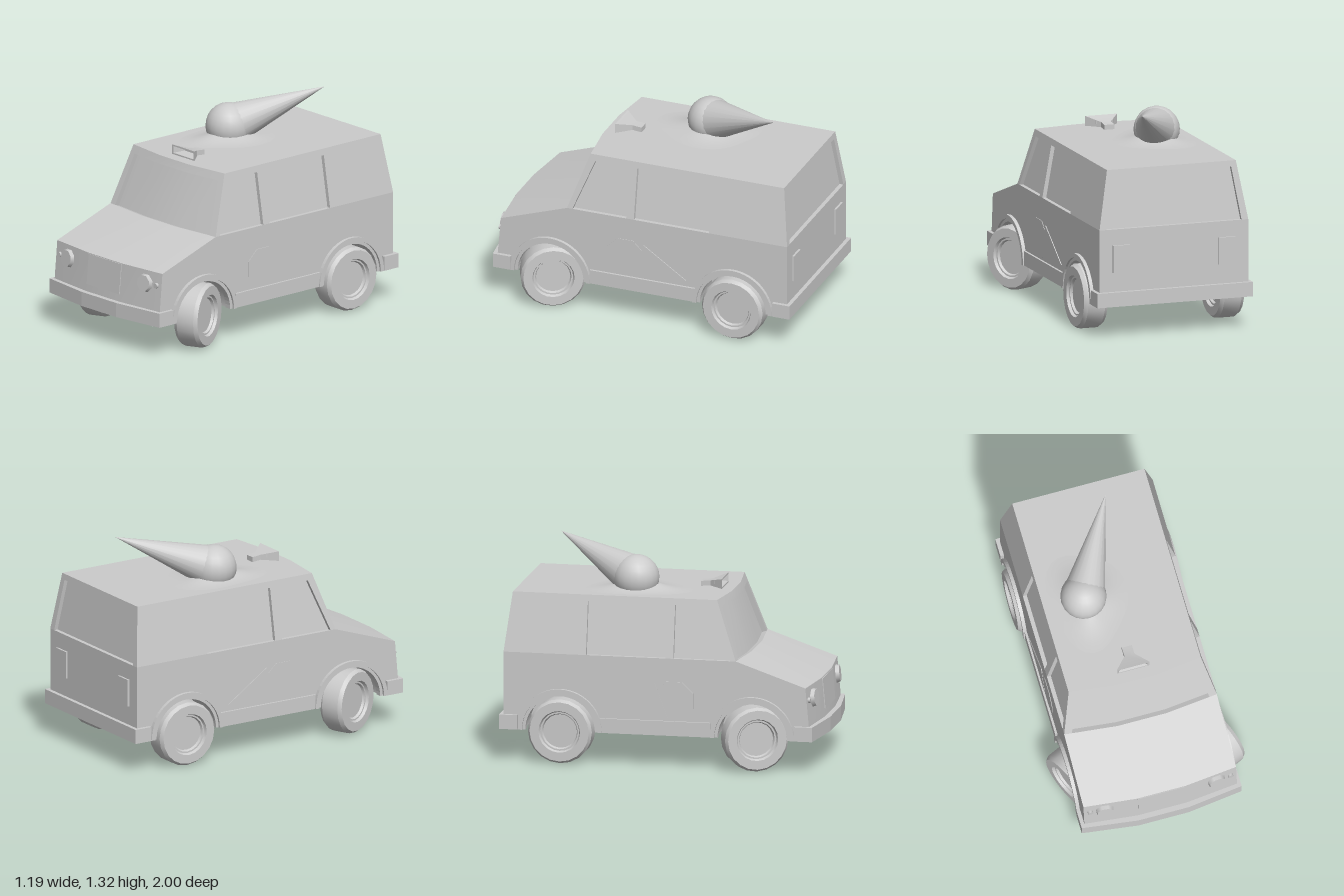
import * as THREE from 'three';
import { toCreasedNormals } from 'three/addons/utils/BufferGeometryUtils.js';

const mat = new THREE.MeshStandardMaterial({ color: 0xcccccc, side: THREE.DoubleSide });
const lerp = THREE.MathUtils.lerp;
const BELT = 0.68, ROOF = 1.045, HW = 0.485, HW_TOP = 0.42, FLOOR = 0.2;
const AXLES = [0.58, -0.62], ARCH = 0.23;

function add(parent, name, geo) {
  const m = new THREE.Mesh(geo, mat);
  m.name = name;
  parent.add(m);
  return m;
}

function quadsToGeo(quads, crease = 0.3) {
  const pos = [];
  for (const [a, b, c, d] of quads) pos.push(...a, ...b, ...c, ...a, ...c, ...d);
  const g = new THREE.BufferGeometry();
  g.setAttribute('position', new THREE.Float32BufferAttribute(pos, 3));
  g.computeVertexNormals();
  return crease ? toCreasedNormals(g, crease) : g;
}

// Grid surface; cells marked as holes become panes sunk by `depth`, with jambs round them
function panel(parent, name, nu, nv, P, isHole = () => false, depth = [0, 0, 0]) {
  const frame = [], panes = [];
  const sink = (p) => p.map((c, k) => c + depth[k]);
  const hole = (i, j) => i >= 0 && j >= 0 && i < nu && j < nv && isHole(i, j);
  for (let i = 0; i < nu; i++) for (let j = 0; j < nv; j++) {
    const q = [P(i, j), P(i + 1, j), P(i + 1, j + 1), P(i, j + 1)];
    if (!hole(i, j)) { frame.push(q); continue; }
    panes.push(q.map(sink));
    [[i, j - 1], [i + 1, j], [i, j + 1], [i - 1, j]].forEach(([a, b], k) => {
      const p = q[k], r = q[(k + 1) % 4];
      if (!hole(a, b)) frame.push([p, r, sink(r), sink(p)]);
    });
  }
  add(parent, name, quadsToGeo(frame));
  if (panes.length) add(parent, name + 'Window', quadsToGeo(panes));
}

// Extrude a (z, y) shape sideways from x0 to x1
function extrudeX(shape, x0, x1, curveSegments = 14) {
  const g = new THREE.ExtrudeGeometry(shape, { depth: x1 - x0, bevelEnabled: false, curveSegments });
  g.rotateY(-Math.PI / 2); // shape x -> z, depth -> -x
  return g.translate(x1, 0, 0);
}

function polyShape(points) {
  return new THREE.Shape(points.map(([x, y]) => new THREE.Vector2(x, y)));
}

function ring(r0, r1, z) {
  const s = new THREE.Shape();
  s.absarc(z, FLOOR, r1, 0, Math.PI, false);
  s.absarc(z, FLOOR, r0, Math.PI, 0, true);
  return s;
}

function buildBody(van) {
  const sag = (u) => 0.035 * Math.max(0, (Math.abs(u) - 0.32) / 0.68);
  const bend = [-1, -0.32, 0.32, 1];
  // Bowed surface from one (z, y, halfWidth) station to another
  const across = (us, vs, a, b) => (i, j) => {
    const u = us[i], v = vs[j];
    return [u * lerp(a[2], b[2], v), lerp(a[1], b[1], v), lerp(a[0] - (a[3] ?? 1) * sag(u), b[0] - (b[3] ?? 1) * sag(u), v)];
  };
  const glassU = [-1, -0.9, -0.32, 0.32, 0.9, 1];
  panel(van, 'nose', 3, 1, across(bend, [0, 1], [0.975, FLOOR, HW], [0.945, 0.53, HW]));
  panel(van, 'hood', 3, 1, across(bend, [0, 1], [0.945, 0.53, HW], [0.51, BELT, HW]));
  panel(van, 'windshield', 5, 2, across(glassU, [0, 0.87, 1], [0.51, BELT, HW], [0.38, ROOF, HW_TOP]),
    (i, j) => i > 0 && i < 4 && j === 0, [0, -0.01, -0.03]);
  panel(van, 'roof', 3, 1, across(bend, [0, 1], [0.38, ROOF, HW_TOP], [-0.93, ROOF, HW_TOP, 0]));
  panel(van, 'rearUpper', 3, 2, across([1, 0.91, -0.91, -1], [0, 0.9, 1], [-0.975, BELT, HW, 0], [-0.93, ROOF, HW_TOP, 0]),
    (i, j) => i === 1 && j === 0, [0, 0, 0.025]);
  panel(van, 'rearLower', 1, 1, across([1, -1], [0, 1], [-0.975, FLOOR, HW, 0], [-0.975, BELT, HW, 0]));

  // Side columns as [z at belt, z at roof]
  const cols = [[0.475, 0.345], [0.44, 0.295], [0.085, 0.085], [0.035, 0.035], [-0.46, -0.46], [-0.975, -0.93]];
  const rows = [0, 0.89, 1];
  const lower = new THREE.Shape();
  lower.moveTo(0.94, FLOOR);
  lower.lineTo(0.91, 0.53);
  lower.lineTo(0.475, BELT);
  lower.lineTo(-0.975, BELT);
  lower.lineTo(-0.975, FLOOR);
  for (const z of [...AXLES].reverse()) lower.absarc(z, FLOOR, ARCH, Math.PI, 0, true);

  for (const s of [1, -1]) {
    const side = s > 0 ? 'left' : 'right';
    panel(van, side + 'SideUpper', 5, 2,
      (i, j) => [s * lerp(HW, HW_TOP, rows[j]), lerp(BELT, ROOF, rows[j]), lerp(...cols[i], rows[j])],
      (i, j) => j === 0 && (i === 1 || i === 3), [-s * 0.025, 0, 0]);
    const g = new THREE.ShapeGeometry(lower, 14);
    g.rotateY(-Math.PI / 2);
    add(van, side + 'SideLower', g.translate(s * HW, 0, 0));

    // Arches, wheel wells, sill and side emblem
    const half = new THREE.Group();
    half.name = side + 'Trim';
    half.scale.x = s;
    van.add(half);
    for (const z of AXLES) {
      add(half, 'archFlare', extrudeX(ring(0.236, 0.262, z), 0.45, 0.507));
      add(half, 'archLip', extrudeX(ring(0.217, 0.237, z), 0.45, 0.493));
      const well = new THREE.CylinderGeometry(ARCH, ARCH, 0.215, 14, 1, true, 0, Math.PI);
      well.rotateZ(Math.PI / 2).rotateX(Math.PI); // lay across the van
      well.computeBoundingBox();
      if (well.boundingBox.min.y < -0.1) well.rotateX(Math.PI);
      add(half, 'wheelWell', well.translate(0.3775, FLOOR, z));
      const cap = new THREE.CircleGeometry(ARCH, 14, 0, Math.PI).rotateY(Math.PI / 2);
      add(half, 'wellWall', cap.translate(0.27, FLOOR, z));
    }
    add(half, 'sill', new THREE.BoxGeometry(0.03, 0.09, 0.69).translate(0.484, FLOOR + 0.045, -0.025));
    const disc = [];
    for (let k = 0; k < 8; k++) {
      const a = (k + 0.5) * Math.PI / 4;
      disc.push([0.09 + 0.13 * Math.cos(a), 0.42 + 0.125 * Math.sin(a)]);
    }
    add(half, 'emblemScoop', extrudeX(polyShape(disc), 0.48, 0.488));
    add(half, 'emblemCone', extrudeX(polyShape([[0.05, 0.31], [-0.03, 0.52], [-0.31, 0.33]]), 0.48, 0.49));

    // Lamps
    const lamp = add(half, 'headlight', new THREE.CylinderGeometry(0.052, 0.06, 0.03, 8).rotateY(Math.PI / 8).rotateX(Math.PI / 2));
    lamp.position.set(0.355, 0.45, 0.94);
    lamp.rotation.set(-0.1, 0.1, 0);
    const blinker = add(half, 'indicator', new THREE.CylinderGeometry(0.017, 0.017, 0.02, 10).rotateX(Math.PI / 2));
    blinker.position.set(0.445, 0.45, 0.925);
    add(half, 'tailLight', new THREE.BoxGeometry(0.11, 0.17, 0.03).translate(0.345, 0.495, -0.973));
  }
  const grille = add(van, 'grille', new THREE.BoxGeometry(0.3, 0.19, 0.02));
  grille.position.set(0, 0.43, 0.949);
  grille.rotation.x = -0.09;

  // Floor notched round the wheels
  const f = [[0.94, HW]], w = 0.27;
  for (const z of AXLES) f.push([z + ARCH, HW], [z + ARCH, w], [z - ARCH, w], [z - ARCH, HW]);
  f.push([-0.975, HW]);
  const outline = [...f, ...f.map(([z, x]) => [z, -x]).reverse()].map(([z, x]) => [x, -z]);
  add(van, 'floor', new THREE.ShapeGeometry(polyShape(outline)).rotateX(-Math.PI / 2).translate(0, FLOOR + 0.003, 0));

  // Bumpers drawn in plan
  const bumper = (name, pts) => add(van, name, new THREE.ExtrudeGeometry(polyShape(pts.map(([x, z]) => [x, -z])),
    { depth: 0.09, bevelEnabled: false }).rotateX(-Math.PI / 2).translate(0, FLOOR, 0));
  bumper('frontBumper', [[-0.508, 0.84], [-0.508, 0.955], [-0.16, 1], [0.16, 1], [0.508, 0.955], [0.508, 0.84]]);
  bumper('rearBumper', [[-0.508, -0.885], [-0.508, -1], [0.508, -1], [0.508, -0.885]]);
}

function buildWheels(van) {
  const half = [[0, 0.045], [0.105, 0.045], [0.112, 0.06], [0.122, 0.06], [0.13, 0.0775], [0.185, 0.0775], [0.2, 0.055]];
  const profile = [...half, ...half.map(([r, a]) => [r, -a]).reverse()].map(([r, a]) => new THREE.Vector2(r, a));
  const geo = toCreasedNormals(new THREE.LatheGeometry(profile, 20).rotateZ(Math.PI / 2), 0.5);
  for (const s of [1, -1]) {
    const front = add(van, 'frontWheel', geo);
    front.position.set(s * 0.445, 0.2, 0.585);
    front.rotation.y = 0.435; // steered
    add(van, 'rearWheel', geo).position.set(s * 0.445, 0.2, AXLES[1]);
  }
}

function buildRoofParts(van) {
  // Ice cream lying on the roof
  const scoopPos = new THREE.Vector3(-0.17, 1.113, -0.21);
  const dir = new THREE.Vector3(0.12, 1.32, -0.74).sub(scoopPos);
  const len = dir.length();
  add(van, 'iceCreamScoop', new THREE.SphereGeometry(0.142, 20, 14)).position.copy(scoopPos);
  const cone = add(van, 'iceCreamCone', new THREE.ConeGeometry(0.136, len, 20).translate(0, len / 2, 0));
  cone.position.copy(scoopPos);
  cone.quaternion.setFromUnitVectors(new THREE.Vector3(0, 1, 0), dir.normalize());

  // Melted puddle with a wavy edge
  panel(van, 'meltedPuddle', 32, 6, (i, j) => {
    const a = i / 32 * Math.PI * 2, v = j / 6, r = v * (1 + 0.1 * Math.sin(3 * a + 1));
    return [-0.15 + 0.24 * r * Math.cos(a), ROOF + 0.002 + 0.08 * (1 - v) ** 2, -0.2 - 0.32 * r * Math.sin(a)];
  });

  // Horn as rectangular stations [z, halfWidth, bottom, top]
  const st = [[0.25, 0, 1.077, 1.077], [0.25, 0.055, 1.067, 1.088], [0.31, 0.092, 1.056, 1.099], [0.31, 0.104, 1.047, 1.108],
    [0.225, 0.032, 1.05, 1.082], [0.165, 0.032, 1.045, 1.076], [0.165, 0, 1.06, 1.06]];
  panel(van, 'roofHorn', 4, st.length - 1, (i, j) => {
    const [z, w, y0, y1] = st[j];
    return [i % 4 === 0 || i === 3 ? -w : w, i % 4 < 2 ? y0 : y1, z];
  });
}

export function createModel() {
  const van = new THREE.Group();
  van.name = 'iceCreamVan';
  buildBody(van);
  buildWheels(van);
  buildRoofParts(van);
  return van;
}
